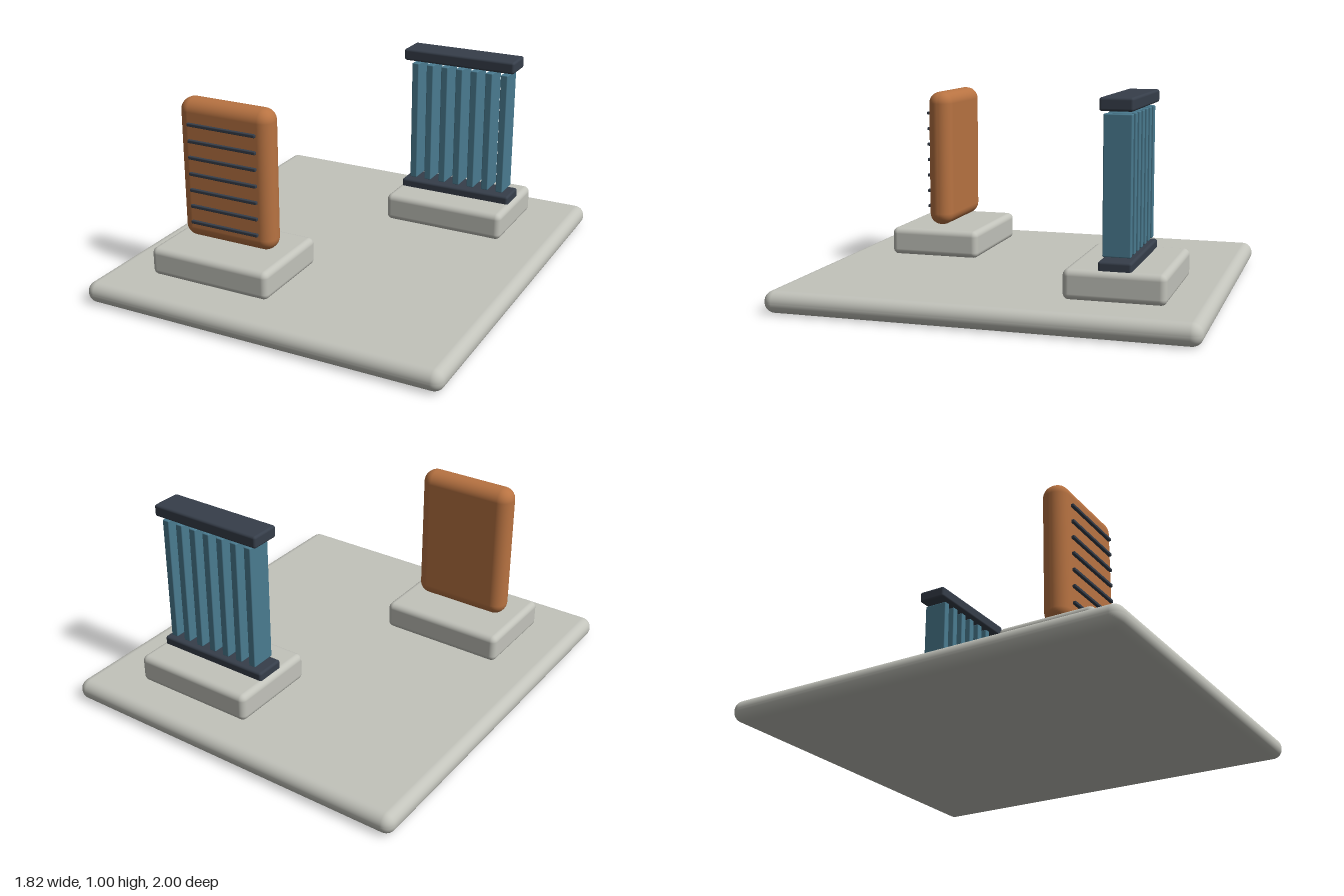
import * as THREE from 'three';
import { RoundedBoxGeometry } from 'three/addons/geometries/RoundedBoxGeometry.js';

export function createModel() {
  const model = new THREE.Group();
  model.name = 'displayStand';

  const material = (name, color) => {
    const m = new THREE.MeshStandardMaterial({ color });
    m.name = name;
    return m;
  };
  const stone = material('pale stone', 0xc2c3bb);
  const copper = material('copper', 0xb87342);
  const steel = material('blue steel', 0x4a7b90);
  const dark = material('dark slate', 0x363e4a);

  // Rounded box given by its extents along each axis
  function block(parent, name, mat, [x0, x1], [y0, y1], [z0, z1], radius, segments = 4) {
    const geometry = new RoundedBoxGeometry(x1 - x0, y1 - y0, z1 - z0, segments, radius);
    const mesh = new THREE.Mesh(geometry, mat);
    mesh.name = name;
    mesh.position.set((x0 + x1) / 2, (y0 + y1) / 2, (z0 + z1) / 2);
    parent.add(mesh);
  }

  function group(name) {
    const g = new THREE.Group();
    g.name = name;
    model.add(g);
    return g;
  }

  // Base slab
  block(model, 'baseSlab', stone, [-0.912, 0.912], [0, 0.104], [-1, 1], 0.05, 6);

  // Slotted copper panel on the front plinth
  const panel = group('slottedPanel');
  block(panel, 'frontPlinth', stone, [-0.685, -0.05], [0.1, 0.24], [0.303, 0.77], 0.03);
  block(panel, 'panelBody', copper, [-0.615, -0.122], [0.25, 0.945], [0.473, 0.6], 0.06, 6);
  for (let i = 0; i < 7; i++) {
    const y = 0.342 + i * 0.0815;
    block(panel, 'slotBar', dark, [-0.55, -0.184], [y - 0.008, y + 0.008], [0.603, 0.619], 0.004, 2);
  }

  // Row of upright fins between two rails on the rear plinth
  const rack = group('finRack');
  block(rack, 'rearPlinth', stone, [0.02, 0.655], [0.1, 0.24], [-0.805, -0.338], 0.03);
  block(rack, 'bottomRail', dark, [0.04, 0.635], [0.22, 0.28], [-0.648, -0.496], 0.012, 3);
  block(rack, 'topRail', dark, [0.04, 0.635], [0.935, 0.995], [-0.648, -0.496], 0.012, 3);
  for (let i = 0; i < 7; i++) {
    const x = 0.099 + i * 0.0805;
    block(rack, 'fin', steel, [x - 0.0185, x + 0.0185], [0.294, 0.922], [-0.636, -0.508], 0.005, 2);
  }

  return model;
}
